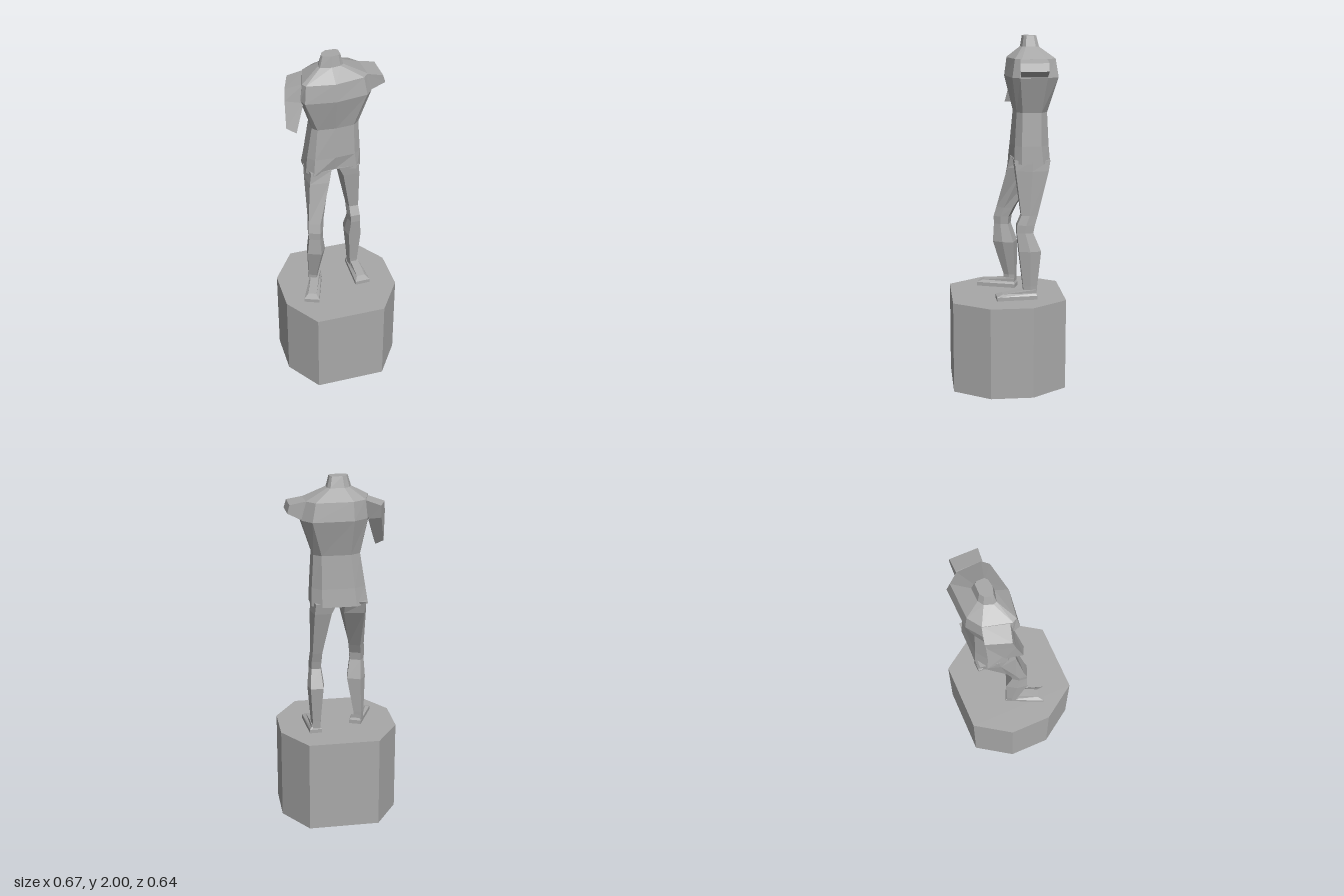
import * as THREE from 'three';

const stone = new THREE.MeshStandardMaterial({ color: 0xa8a8a8, flatShading: true });
stone.name = 'grey stone';

// Skin a stack of equal-length rings of [x, y, z] points and cap both ends
function loft(name, rings) {
  const pos = [];
  const n = rings[0].length;
  const tri = (a, b, c) => pos.push(...a, ...b, ...c);
  for (let r = 0; r < rings.length - 1; r++) {
    for (let i = 0; i < n; i++) {
      const j = (i + 1) % n;
      const lo = rings[r], hi = rings[r + 1];
      tri(lo[i], lo[j], hi[j]);
      tri(lo[i], hi[j], hi[i]);
    }
  }
  const top = rings[rings.length - 1], bottom = rings[0];
  for (let i = 1; i < n - 1; i++) {
    tri(top[0], top[i], top[i + 1]);
    tri(bottom[0], bottom[i + 1], bottom[i]);
  }
  const g = new THREE.BufferGeometry();
  g.setAttribute('position', new THREE.Float32BufferAttribute(pos, 3));
  g.computeVertexNormals();
  const mesh = new THREE.Mesh(g, stone);
  mesh.name = name;
  return mesh;
}

// Place local (across, forward) points at a centre, turned about the vertical
function place(points, cx, y, cz, turn) {
  const c = Math.cos(turn), s = Math.sin(turn);
  return points.map(([u, v]) => [cx + u * c + v * s, y, cz - u * s + v * c]);
}

// Six-sided limb section with half width w and half depth d
const limbRing = (cx, y, cz, w, d, turn) => place(
  [[-w * 0.75, d], [w * 0.75, d], [w, 0], [w * 0.75, -d], [-w * 0.75, -d], [-w, 0]], cx, y, cz, turn);

// Foot section: heel and toe positions with their half widths
const footRing = (x, z, y, heel, toe, wHeel, wToe, turn) => place(
  [[-wToe, toe], [wToe, toe], [wHeel, heel], [-wHeel, heel]], x, y, z, turn);

function leg(side, sections, turn, ankle) {
  const g = new THREE.Group();
  g.name = side + 'Leg';
  g.add(loft(side + 'LegLimb', sections.map(([x, y, z, w, d, t]) => limbRing(x, y, z, w, d, t))));
  const [x, z] = ankle;
  g.add(loft(side + 'Foot', [
    footRing(x, z, 0.525, -0.04, 0.19, 0.034, 0.044, turn),
    footRing(x, z, 0.547, -0.04, 0.19, 0.034, 0.044, turn),
    footRing(x, z, 0.56, -0.034, 0.155, 0.026, 0.024, turn),
    footRing(x, z, 0.58, -0.034, 0.03, 0.026, 0.024, turn),
  ]));
  return g;
}

export function createModel() {
  const model = new THREE.Group();
  model.name = 'statue';

  // Eight-sided pedestal
  const octagon = [[-0.2, 0.32], [0.2, 0.32], [0.335, 0.12], [0.335, -0.12],
    [0.2, -0.32], [-0.2, -0.32], [-0.335, -0.12], [-0.335, 0.12]];
  model.add(loft('pedestal', [0, 0.525].map((y) => place(octagon, 0, y, 0, 0))));

  // Torso sections run front centre, left side, back, right side
  const level = (y, pts) => pts.map(([x, z, dy = 0]) => [x, y + dy, z]);
  const hips = level(1.3, [[0.005, -0.04, 0.015], [0.13, -0.03], [0.163, -0.07], [0.163, -0.19],
    [0.11, -0.235], [-0.08, -0.235], [-0.15, -0.19], [-0.153, -0.07], [-0.12, -0.02]]);
  const pelvis = level(1.4, [[0.005, -0.025], [0.12, -0.035], [0.16, -0.07], [0.16, -0.18],
    [0.11, -0.225], [-0.07, -0.225], [-0.135, -0.18], [-0.145, -0.07], [-0.11, -0.03]]);
  const waist = level(1.585, [[0.01, -0.035], [0.115, -0.045], [0.15, -0.075], [0.15, -0.18],
    [0.11, -0.215], [-0.05, -0.215], [-0.105, -0.18], [-0.115, -0.075], [-0.09, -0.045]]);
  const chest = level(1.78, [[0, 0.013], [0.18, -0.015], [0.215, -0.055], [0.215, -0.205],
    [0.165, -0.27], [-0.06, -0.263], [-0.14, -0.205], [-0.18, -0.055], [-0.165, -0.01]]);
  const shoulders = level(1.88, [[0, 0], [0.165, -0.03], [0.195, -0.065], [0.19, -0.2],
    [0.145, -0.255], [-0.057, -0.25], [-0.13, -0.2], [-0.17, -0.05], [-0.155, -0.025]]);
  const neckBase = level(1.94, [[0, -0.075], [0.05, -0.083], [0.07, -0.1], [0.07, -0.155],
    [0.055, -0.175], [-0.02, -0.173], [-0.05, -0.155], [-0.066, -0.11], [-0.06, -0.09]]);
  const neckTop = level(2, [[0, -0.085], [0.042, -0.092], [0.055, -0.105], [0.055, -0.145],
    [0.045, -0.16], [-0.012, -0.16], [-0.035, -0.145], [-0.047, -0.115], [-0.044, -0.098]]);
  model.add(loft('torso', [hips, pelvis, waist, chest, shoulders]));
  model.add(loft('neck', [shoulders, neckBase, neckTop]));

  // Left arm stump held out sideways
  const armRing = (xb, yb, xt, yt, front, back) => [
    [xb, yb, front], [xb, yb, back], [xt, yt, back], [xt, yt, front]];
  model.add(loft('leftArmStump', [
    armRing(0.15, 1.78, 0.15, 1.88, -0.06, -0.2),
    armRing(0.22, 1.785, 0.195, 1.88, -0.058, -0.203),
    armRing(0.29, 1.82, 0.277, 1.864, -0.048, -0.203),
  ]));

  // Right upper arm hanging down, cut above the elbow
  model.add(loft('rightUpperArm', [
    [[-0.265, 1.635, -0.035], [-0.215, 1.61, -0.01], [-0.205, 1.61, -0.1], [-0.245, 1.635, -0.125]],
    [[-0.26, 1.78, -0.075], [-0.165, 1.77, -0.045], [-0.15, 1.77, -0.18], [-0.215, 1.78, -0.205]],
    [[-0.255, 1.845, -0.09], [-0.15, 1.88, -0.06], [-0.125, 1.878, -0.2], [-0.21, 1.848, -0.22]],
  ]));

  // Legs from ankle to hip: x, y, z, half width, half depth, turn
  const out = -0.38;
  model.add(leg('right', [
    [-0.13, 0.55, -0.035, 0.028, 0.032, out],
    [-0.13, 0.6, -0.035, 0.03, 0.034, out],
    [-0.12, 0.805, -0.003, 0.053, 0.062, out],
    [-0.125, 0.91, 0.012, 0.042, 0.042, out],
    [-0.125, 0.955, 0.01, 0.045, 0.045, out],
    [-0.118, 1.01, -0.01, 0.045, 0.05, out],
    [-0.081, 1.25, -0.105, 0.074, 0.092, -0.1],
    [-0.076, 1.32, -0.125, 0.078, 0.1, 0],
  ], out, [-0.119, -0.03]));
  model.add(leg('left', [
    [0.134, 0.55, -0.12, 0.027, 0.036, 0],
    [0.134, 0.6, -0.12, 0.03, 0.04, 0],
    [0.133, 0.805, -0.118, 0.048, 0.062, 0],
    [0.133, 0.91, -0.09, 0.035, 0.046, 0],
    [0.131, 0.955, -0.095, 0.037, 0.05, 0],
    [0.128, 1.01, -0.115, 0.036, 0.046, 0],
    [0.103, 1.26, -0.13, 0.062, 0.092, 0],
    [0.086, 1.32, -0.132, 0.077, 0.1, 0],
  ], 0.03, [0.14, -0.118]));

  return model;
}
